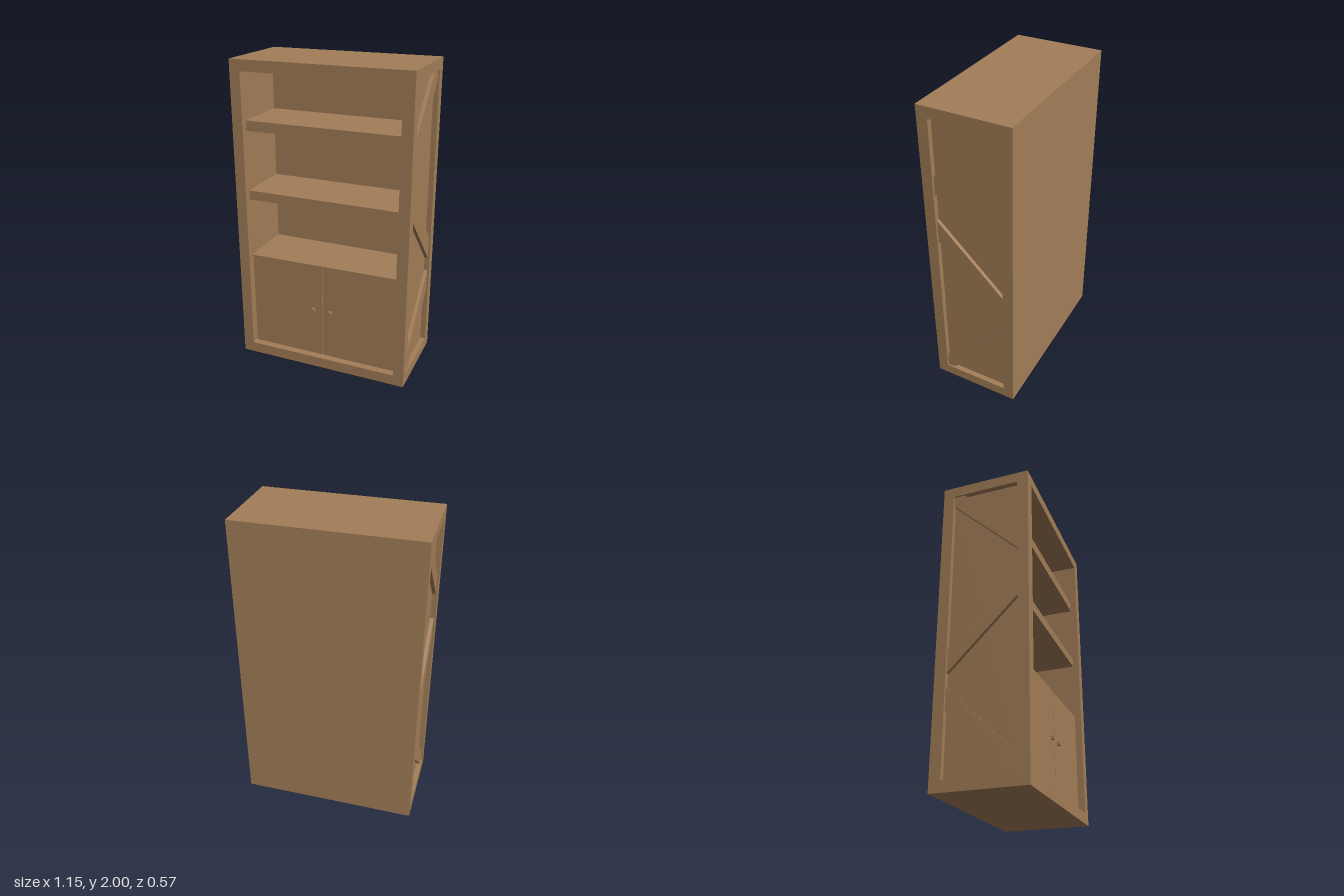
import * as THREE from 'three';
import { mergeGeometries } from 'three/addons/utils/BufferGeometryUtils.js';

const W = 1.15, H = 2, D = 0.575, RAIL = 0.07;
const PANEL_DEPTH = 0.033, INNER_DEPTH = 0.415;

function polygon(points) {
  return new THREE.Shape(points.map(([x, y]) => new THREE.Vector2(x, y)));
}

function rectangle(w, y0, y1) {
  return [[-w / 2, y0], [w / 2, y0], [w / 2, y1], [-w / 2, y1]];
}

// Framed face in the XY plane, facing +z, with an open pocket sunk behind it
function framedFace(width, depth) {
  const inner = width - 2 * RAIL, innerH = H - 2 * RAIL;
  const shape = polygon(rectangle(width, 0, H));
  shape.holes.push(polygon(rectangle(inner, RAIL, H - RAIL)));
  const frame = new THREE.ShapeGeometry(shape);

  const pocket = new THREE.BoxGeometry(inner, innerH, depth);
  const index = Array.from(pocket.index.array);
  index.splice(24, 6); // leave the front open
  pocket.setIndex(index.reverse()); // show the inside
  pocket.clearGroups();
  pocket.computeVertexNormals();
  pocket.translate(0, H / 2, -depth / 2);
  return mergeGeometries([frame, pocket]);
}

export function createModel() {
  const model = new THREE.Group();
  model.name = 'bookcase';
  const wood = new THREE.MeshStandardMaterial({ color: 0xa37e58 });
  wood.name = 'wood';

  function add(name, geometry, x = 0, y = 0, z = 0) {
    const mesh = new THREE.Mesh(geometry, wood);
    mesh.name = name;
    mesh.position.set(x, y, z);
    model.add(mesh);
    return mesh;
  }

  // Carcass: open front, recessed sides, plain back, top and base
  add('frontFrame', framedFace(W, INNER_DEPTH), 0, 0, D / 2);
  add('backPanel', new THREE.PlaneGeometry(W, H), 0, H / 2, -D / 2).rotation.y = Math.PI;
  add('topPanel', new THREE.PlaneGeometry(W, D), 0, H, 0).rotation.x = -Math.PI / 2;
  add('basePanel', new THREE.PlaneGeometry(W, D), 0, 0, 0).rotation.x = Math.PI / 2;

  // Zigzag braces as outlines of [-z, y], inside the recessed side panels
  const braces = [
    [[-0.215, 1.445], [0.215, 1.86], [0.215, 1.93], [0.145, 1.93], [-0.215, 1.57]],
    [[-0.215, 1.12], [0.215, 0.69], [0.215, 0.845], [-0.215, 1.27]],
    [[-0.215, 0.07], [-0.17, 0.07], [0.215, 0.46], [0.215, 0.6], [-0.215, 0.17]],
  ];
  const braceDepth = 0.023;
  for (const side of [1, -1]) {
    const label = side > 0 ? 'left' : 'right';
    add(label + 'SideFrame', framedFace(D, PANEL_DEPTH), side * W / 2).rotation.y = side * Math.PI / 2;
    braces.forEach((outline, i) => {
      const geometry = new THREE.ExtrudeGeometry(polygon(outline), { depth: braceDepth, bevelEnabled: false });
      geometry.translate(0, 0, -braceDepth / 2);
      geometry.rotateY(Math.PI / 2);
      add(label + 'Brace' + (i + 1), geometry, side * (W / 2 - PANEL_DEPTH + braceDepth / 2));
    });
  }

  // Shelves, the lowest one closing the cupboard behind the doors
  const backZ = D / 2 - INNER_DEPTH;
  function shelf(name, y0, y1, frontZ) {
    const geometry = new THREE.BoxGeometry(W - 2 * RAIL, y1 - y0, frontZ - backZ);
    add(name, geometry, 0, (y0 + y1) / 2, (frontZ + backZ) / 2);
  }
  shelf('upperShelf', 1.56, 1.625, 0.245);
  shelf('middleShelf', 1.11, 1.17, 0.245);
  shelf('cupboardTop', 0.66, 0.72, 0.215);

  // Doors with a narrow gap between them, and their square knobs
  const doors = [
    ['rightDoor', [[-0.497, 0.073], [-0.002, 0.073], [-0.002, 0.726], [-0.497, 0.72]]],
    ['leftDoor', [[0.002, 0.073], [0.501, 0.073], [0.501, 0.731], [0.002, 0.726]]],
  ];
  for (const [name, outline] of doors) {
    add(name, new THREE.ExtrudeGeometry(polygon(outline), { depth: 0.028, bevelEnabled: false }), 0, 0, 0.217);
  }
  add('rightKnob', new THREE.BoxGeometry(0.022, 0.02, 0.02), -0.063, 0.405, 0.254);
  add('leftKnob', new THREE.BoxGeometry(0.022, 0.02, 0.02), 0.058, 0.405, 0.254);

  return model;
}
